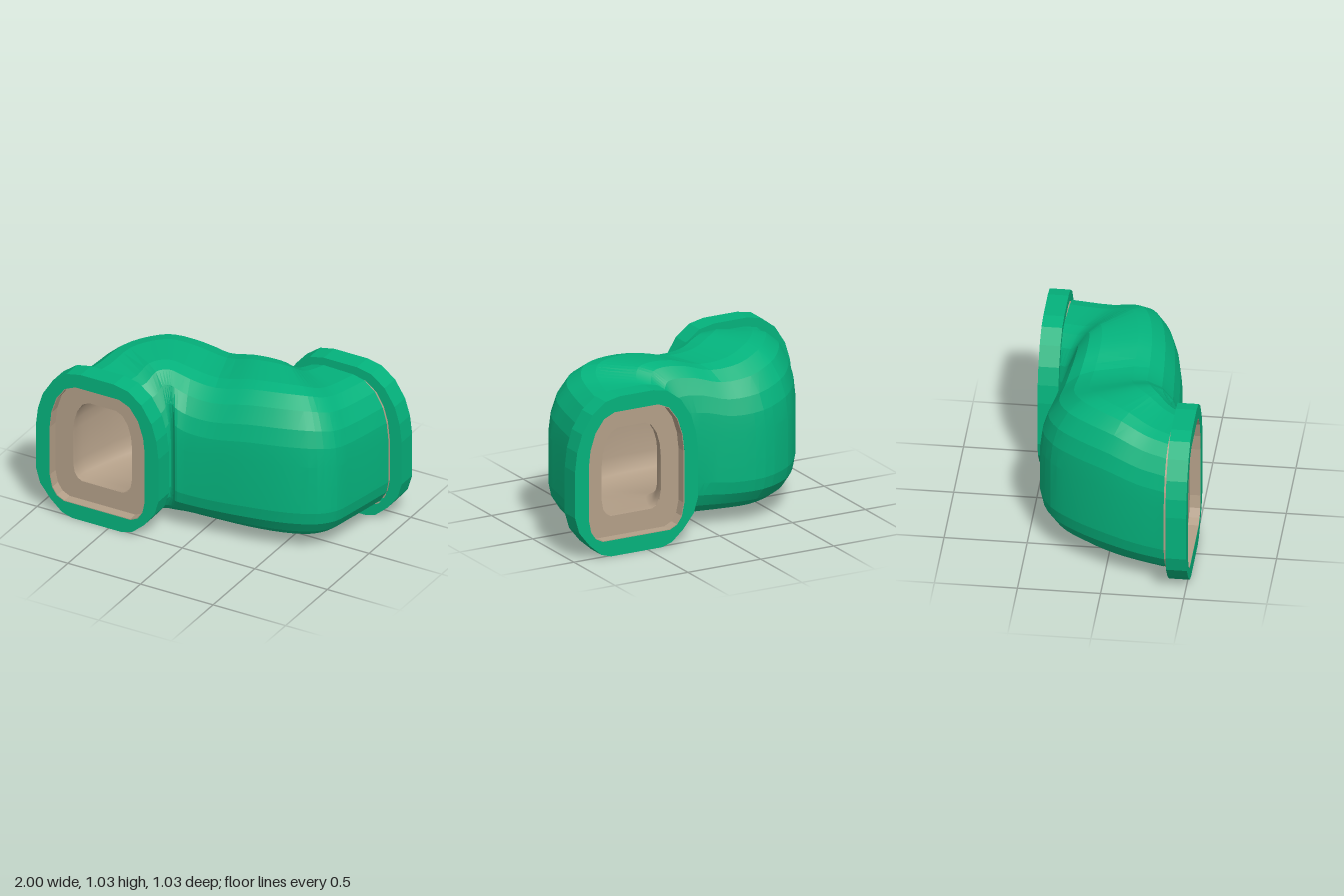
import * as THREE from 'three';
import { toCreasedNormals } from 'three/addons/utils/BufferGeometryUtils.js';

// Arch sections from their right half: u = -1..1 across, v = 0..1 up
const mirror = half => [...half, ...half.map(([u, v]) => [-u, v]).reverse()];
const FLANGE = mirror([[0.41, 0], [0.57, 0.02], [0.76, 0.09], [0.93, 0.18], [1, 0.28], [1, 0.57],
  [0.965, 0.69], [0.885, 0.8], [0.72, 0.91], [0.5, 0.98], [0.27, 1]]);
const SHELL = mirror([[0.5, 0], [0.68, 0.015], [0.84, 0.07], [0.96, 0.15], [1, 0.235], [1, 0.57],
  [0.965, 0.7], [0.885, 0.81], [0.73, 0.915], [0.52, 0.98], [0.3, 1]]);
const HOLE = mirror([[0.7, 0], [0.85, 0.03], [0.95, 0.09], [1, 0.19], [1, 0.6],
  [0.965, 0.73], [0.86, 0.86], [0.68, 0.96], [0.46, 1]]);

// Plan of the bent pipe: left edge x, z, right edge x, z, top height
const STATIONS = [
  [-0.92, 0.37, -0.22, 0.40, 0.95],
  [-0.875, 0.2, -0.18, 0.37, 0.97],
  [-0.8, 0, -0.165, 0.35, 1.025],
  [-0.68, -0.21, -0.14, 0.36, 1.035],
  [-0.55, -0.355, -0.12, 0.38, 1.025],
  [-0.35, -0.44, -0.06, 0.375, 0.985],
  [-0.15, -0.42, 0.1, 0.36, 0.97],
  [0, -0.385, 0.35, 0.335, 1.02],
  [0.1, -0.365, 0.6, 0.28, 1.035],
  [0.15, -0.355, 0.76, 0.2, 1.025],
  [0.17, -0.36, 0.835, 0.1, 0.995],
  [0.19, -0.375, 0.865, -0.05, 0.965],
  [0.22, -0.40, 0.92, -0.37, 0.95],
];
// The passage keeps an even wall thickness and runs straight out to both mouths
const WALL = 0.145;
const PASSAGE = [
  [-0.78, 0.45, -0.375, 0.45, 0.78],
  ...STATIONS.map(([lx, lz, rx, rz, top]) => {
    const t = WALL / Math.hypot(rx - lx, rz - lz);
    const dx = (rx - lx) * t, dz = (rz - lz) * t;
    return [lx + dx, lz + dz, rx - dx, rz - dz, top - 0.17];
  }),
  [0.375, -0.45, 0.78, -0.45, 0.78],
];
const STEPS = 36;
const CENTER = -0.578;

// Loft a section along the plan, facing outward or inward
function loft(stations, ring, bottom, inward) {
  const edge = (ix, iz) => new THREE.CatmullRomCurve3(
    stations.map(s => new THREE.Vector3(s[ix], s[4], s[iz])));
  const left = edge(0, 1), right = edge(2, 3);
  const pos = [], index = [], n = ring.length;
  for (let i = 0; i <= STEPS; i++) {
    const l = left.getPoint(i / STEPS), r = right.getPoint(i / STEPS);
    for (const [u, v] of ring) {
      const p = l.clone().lerp(r, 0.5 + 0.5 * u);
      pos.push(p.x, bottom + (p.y - bottom) * v, p.z);
    }
  }
  for (let i = 0; i < STEPS; i++) {
    for (let j = 0; j < n; j++) {
      const a = i * n + j, b = i * n + (j + 1) % n, c = b + n, d = a + n;
      if (inward) index.push(a, b, c, a, c, d);
      else index.push(a, c, b, a, d, c);
    }
  }
  const geo = new THREE.BufferGeometry();
  geo.setAttribute('position', new THREE.Float32BufferAttribute(pos, 3));
  geo.setIndex(index);
  return geo;
}

// Section outline in x, y at the mouth of the pipe
const outline = (ring, half, y0, y1) =>
  ring.map(([u, v]) => new THREE.Vector2(CENTER + u * half, y0 + (y1 - y0) * v));

// Frame between two outlines, from z0 to z1
function frame(outer, inner, z0, z1) {
  const shape = new THREE.Shape(outer);
  shape.holes.push(new THREE.Path(inner));
  const geo = new THREE.ExtrudeGeometry(shape, { depth: z1 - z0, bevelEnabled: false });
  return geo.translate(0, 0, z0);
}

export function createModel() {
  const green = new THREE.MeshStandardMaterial({ color: 0x04b27c });
  green.name = 'green shell';
  const tan = new THREE.MeshStandardMaterial({ color: 0xb39f88 });
  tan.name = 'tan lining';

  const model = new THREE.Group();
  model.name = 'bentTunnel';
  const add = (parent, name, geo, mat) => {
    const mesh = new THREE.Mesh(geo, mat);
    mesh.name = name;
    parent.add(mesh);
  };

  // Faceted outer shell and smooth inner passage
  add(model, 'shell', toCreasedNormals(loft(STATIONS, SHELL, 0.08, false), 0.15), green);
  add(model, 'passage', toCreasedNormals(loft(PASSAGE, HOLE, 0.23, true), 0.6), tan);

  // Identical mouths at both ends, half a turn apart
  const rim = outline(FLANGE, 0.4225, 0, 1);
  const hole = outline(HOLE, 0.328, 0.1, 0.905);
  const holeInner = outline(HOLE, 0.324, 0.104, 0.901);
  const opening = outline(HOLE, 0.2025, 0.23, 0.78);
  const collar = outline(SHELL, 0.34, 0.085, 0.94);
  for (const [name, turn] of [['frontMouth', 0], ['backMouth', Math.PI]]) {
    const mouth = new THREE.Group();
    mouth.name = name;
    mouth.rotation.y = turn;
    add(mouth, 'flange', frame(rim, hole, 0.39, 0.515), green);
    add(mouth, 'recessLining', frame(hole, holeInner, 0.445, 0.514), tan);
    add(mouth, 'recessFace', frame(hole, opening, 0.442, 0.45), tan);
    add(mouth, 'collar', frame(collar, hole, 0.362, 0.391), tan);
    model.add(mouth);
  }
  return model;
}
